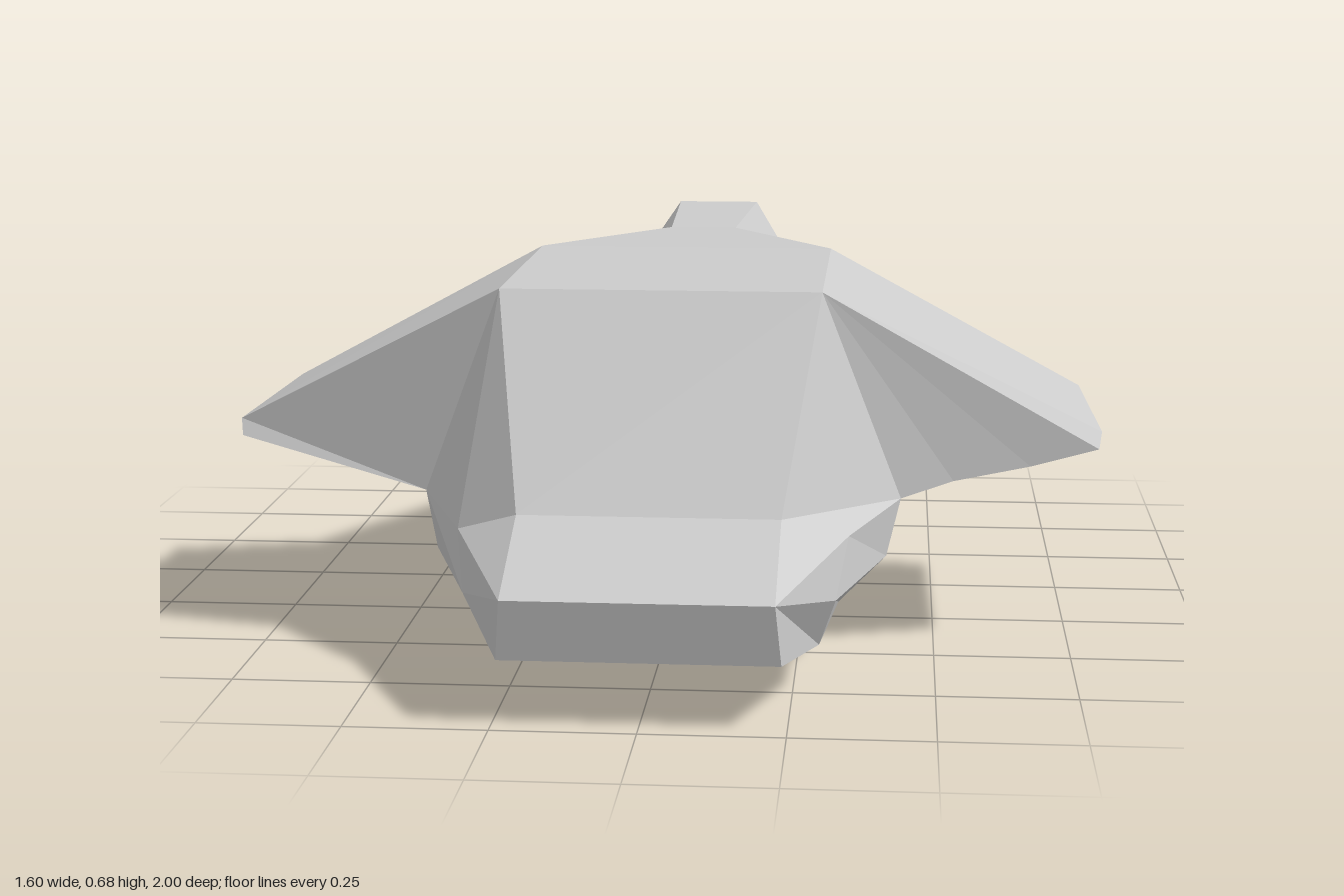
import * as THREE from 'three';

const material = new THREE.MeshStandardMaterial({ color: 0xcccccc, flatShading: true });

// Joins matching sections, listed front to back, and caps both ends.
// Each section runs clockwise as seen from the front.
function loft(name, sections, closed) {
  const pos = [];
  const tri = (a, b, c) => {
    const t = new THREE.Triangle(...[a, b, c].map((p) => new THREE.Vector3(...p)));
    if (t.getArea() > 1e-6) pos.push(...a, ...b, ...c);
  };
  const n = sections[0].length;
  for (let s = 0; s < sections.length - 1; s++) {
    const a = sections[s], b = sections[s + 1];
    for (let i = 0; i < (closed ? n : n - 1); i++) {
      const j = (i + 1) % n;
      tri(a[i], a[j], b[j]);
      tri(a[i], b[j], b[i]);
    }
  }
  const front = sections[0], back = sections[sections.length - 1];
  for (let i = 1; i < n - 1; i++) {
    tri(front[0], front[i + 1], front[i]);
    tri(back[0], back[i], back[i + 1]);
  }
  const geometry = new THREE.BufferGeometry();
  geometry.setAttribute('position', new THREE.Float32BufferAttribute(pos, 3));
  geometry.computeVertexNormals();
  const mesh = new THREE.Mesh(geometry, material);
  mesh.name = name;
  return mesh;
}

const mirror = (points) => points.map(([x, y, z]) => [-x, y, z]).reverse();

export function createModel() {
  const group = new THREE.Group();
  group.name = 'model';

  // Hull half-sections: deck edge, shoulder, side, chine, keel edge
  const hull = [
    [[0.23, 0.225, 1], [0.23, 0.225, 1], [0.23, 0.225, 1], [0.24, 0.115, 0.975], [0.24, 0.115, 0.975]], // nose
    [[0.23, 0.32, 0.785], [0.345, 0.275, 0.71], [0.325, 0.18, 0.79], [0.295, 0.08, 0.72], [0.235, 0.043, 0.72]],
    [[0.29, 0.68, 0.55], [0.435, 0.3, 0.52], [0.41, 0.2, 0.55], [0.325, 0.115, 0.56], [0.23, 0, 0.57]], // cabin front
    [[0.29, 0.68, -0.035], [0.425, 0.3, -0.035], [0.41, 0.2, -0.035], [0.325, 0.115, -0.035], [0.23, 0, -0.035]], // cabin back
    [[0.07, 0.66, -0.51], [0.145, 0.57, -0.49], [0.26, 0.45, -0.43], [0.145, 0.365, -0.39], [0.03, 0.28, -0.35]], // tail root
    [[0.09, 0.66, -1], [0.148, 0.575, -0.94], [0.15, 0.555, -0.93], [0.11, 0.515, -0.9], [0.05, 0.49, -0.88]], // tail end
  ].map((half) => [...half, ...mirror(half)]);
  group.add(loft('hull', hull, true));

  // Wings: top edge out to the tip, then back in along the curved underside
  const wingFront = [
    [0.29, 0.68, 0.55], [0.8, 0.41, 0.425], [0.795, 0.38, 0.44],
    [0.67, 0.35, 0.46], [0.53, 0.327, 0.49], [0.435, 0.3, 0.52],
  ];
  const wingBack = wingFront.map(([x, y], i) => [i === 0 ? x : x - 0.012, y, -0.035]);
  group.add(loft('leftWing', [wingFront, wingBack], false));
  group.add(loft('rightWing', [mirror(wingFront), mirror(wingBack)], false));

  return group;
}
